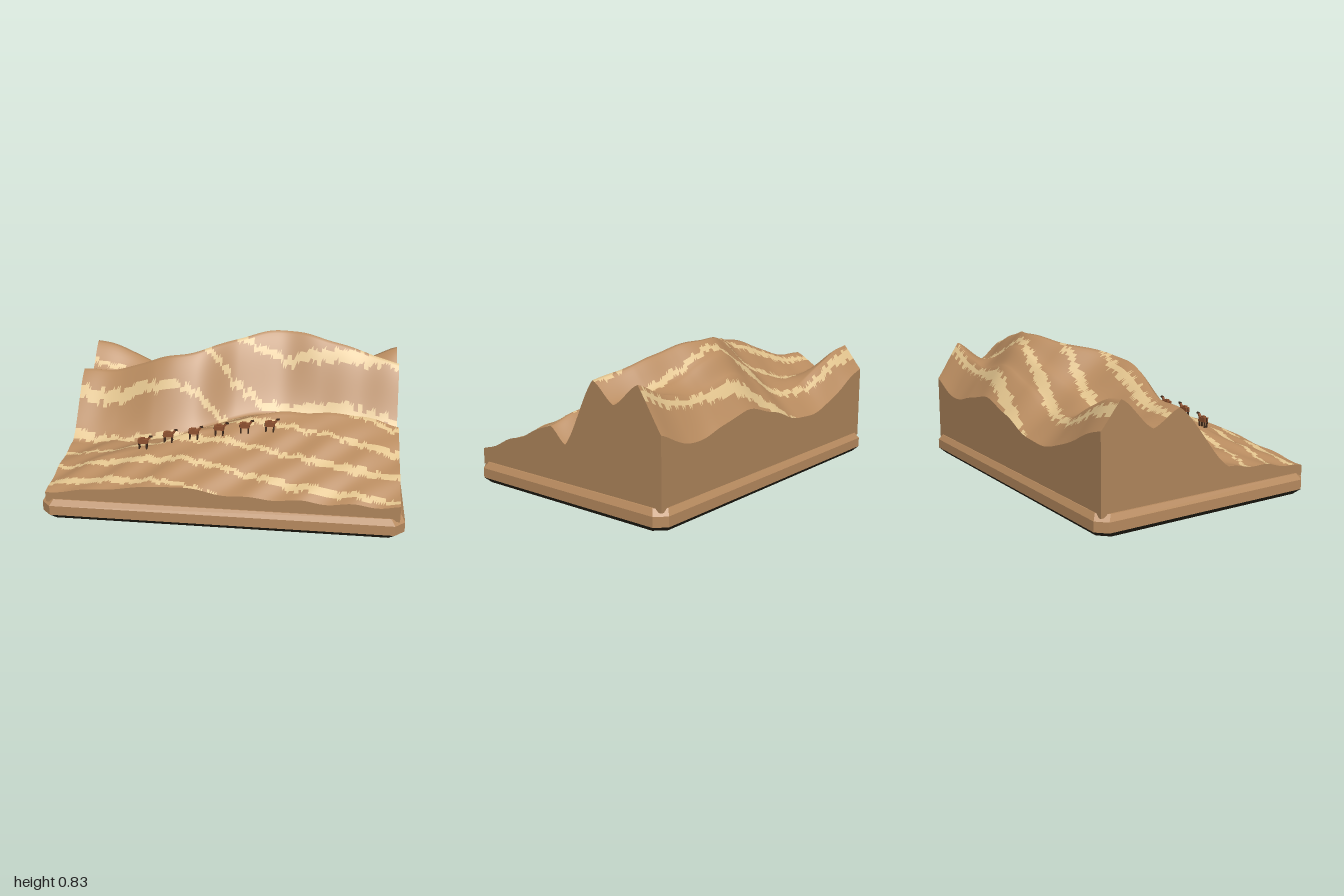
import * as THREE from 'three';
import { mergeGeometries } from 'three/addons/utils/BufferGeometryUtils.js';

const material = (name, color, extra = {}) => {
  const m = new THREE.MeshStandardMaterial({ color, ...extra });
  m.name = name;
  return m;
};

const W = 0.97, D = 0.665;

// Dune cross-sections from front to back:
// x, front height, then z and height of ridge, foot, crest, valley, back crest, then back height
const SECTIONS = [
  [-0.97, 0.155, 0.42, 0.2, 0.13, 0.23, -0.2, 0.585, -0.36, 0.5, -0.55, 0.67, 0.53],
  [-0.72, 0.185, 0.39, 0.255, 0.13, 0.25, -0.17, 0.61, -0.37, 0.5, -0.54, 0.6, 0.43],
  [-0.48, 0.215, 0.35, 0.32, 0.165, 0.28, -0.11, 0.7, -0.37, 0.51, -0.52, 0.49, 0.35],
  [-0.24, 0.23, 0.28, 0.38, 0.13, 0.34, -0.12, 0.755, -0.36, 0.58, -0.52, 0.46, 0.34],
  [0, 0.205, 0.2, 0.425, -0.02, 0.37, -0.28, 0.8, -0.42, 0.68, -0.53, 0.57, 0.42],
  [0.25, 0.19, 0.12, 0.475, -0.1, 0.38, -0.37, 0.83, -0.46, 0.76, -0.55, 0.65, 0.48],
  [0.5, 0.185, 0.1, 0.478, -0.08, 0.37, -0.32, 0.81, -0.44, 0.69, -0.54, 0.6, 0.43],
  [0.75, 0.185, 0.09, 0.465, -0.04, 0.35, -0.28, 0.745, -0.4, 0.62, -0.52, 0.62, 0.4],
  [0.97, 0.18, 0.1, 0.42, -0.01, 0.33, -0.22, 0.69, -0.36, 0.58, -0.52, 0.7, 0.48],
];
const ROUNDING = [0, 0.5, 0.4, 0.5, 0.5, 0.1];
const ROWS = [26, 15, 19, 10, 10, 9];

// Smoothly blended cross-section at x, as [z, height] pairs
function profile(x) {
  let i = 0;
  while (i < SECTIONS.length - 2 && x > SECTIONS[i + 1][0]) i++;
  const at = (k) => SECTIONS[Math.min(Math.max(k, 0), SECTIONS.length - 1)];
  const [a, b, c, d] = [at(i - 1), at(i), at(i + 1), at(i + 2)];
  const t = (x - b[0]) / (c[0] - b[0]);
  const v = b.map((p, k) => {
    const m0 = (c[k] - a[k]) / 2, m1 = (d[k] - p) / 2;
    return p + t * (m0 + t * (3 * (c[k] - p) - 2 * m0 - m1 + t * (m0 + m1 - 2 * (c[k] - p))));
  });
  return [[D, v[1]], [v[2], v[3]], [v[4], v[5]], [v[6], v[7]], [v[8], v[9]], [v[10], v[11]], [-D, v[12]]];
}

// Height within one segment of the profile, with wind ripples
function segmentHeight(p, s, t, x, z) {
  const r = ROUNDING[s], f = t * (1 - r) + r * t * t * (3 - 2 * t);
  const fade = THREE.MathUtils.smoothstep(z, -0.05, 0.3);
  const ripple = fade * 0.006 * Math.sin((x + 1.2 * z) * 22);
  const swell = 0.006 * Math.sin(x * 17 + z * 5) * Math.sin(x * 7 + 1);
  return p[s][1] + (p[s + 1][1] - p[s][1]) * f + ripple + swell;
}

function heightAt(x, z) {
  const p = profile(x);
  let s = 0;
  while (s < 5 && z < p[s + 1][0]) s++;
  return segmentHeight(p, s, (p[s][0] - z) / (p[s][0] - p[s + 1][0]), x, z);
}

const hash = (n) => {
  const s = Math.sin(n * 127.1) * 43758.5453;
  return s - Math.floor(s);
};

// Pale, ragged wind-blown bands
function isPale(x, z, column) {
  const band = Math.floor((z + 1) * 6);
  const u = (z - 0.11 * x + 0.022 * Math.sin(3.2 * x + 5 * z) + 0.64
    + (hash(column + band * 31) - 0.5) * 0.024) / 0.165;
  return Math.abs(u - Math.round(u)) < 0.115 + 0.04 * Math.sin(5 * x + 9 * z);
}

function buildTerrain(sand, pale, side) {
  const group = new THREE.Group();
  group.name = 'dunes';
  const NX = 150, pos = [], rows = ROWS.reduce((a, b) => a + b, 0) + 1;
  for (let i = 0; i <= NX; i++) {
    const x = -W + (2 * W * i) / NX, p = profile(x);
    ROWS.forEach((n, s) => {
      for (let k = s ? 1 : 0; k <= n; k++) {
        const t = k / n, z = p[s][0] + (p[s + 1][0] - p[s][0]) * t;
        pos.push(x, segmentHeight(p, s, t, x, z), z);
      }
    });
  }
  const sets = [[], []];
  const addFace = (column, ...tri) => {
    const cx = tri.reduce((a, v) => a + pos[v * 3], 0) / 3;
    const cz = tri.reduce((a, v) => a + pos[v * 3 + 2], 0) / 3;
    sets[isPale(cx, cz, column) ? 1 : 0].push(...tri);
  };
  for (let i = 0; i < NX; i++) for (let j = 0; j < rows - 1; j++) {
    const a = i * rows + j, b = a + rows;
    addFace(i >> 1, a, b, b + 1);
    addFace(i >> 1, a, b + 1, a + 1);
  }
  const geo = new THREE.BufferGeometry();
  geo.setAttribute('position', new THREE.Float32BufferAttribute(pos, 3));
  geo.setIndex(sets[0].concat(sets[1]));
  geo.addGroup(0, sets[0].length, 0);
  geo.addGroup(sets[0].length, sets[1].length, 1);
  geo.computeVertexNormals();
  const top = new THREE.Mesh(geo, [sand, pale]);
  top.name = 'duneSurface';
  group.add(top);

  // Cut walls below each edge of the surface
  const line = (n, f) => Array.from({ length: n }, (_, k) => f(k));
  const edges = {
    frontWall: line(NX + 1, (i) => i * rows),
    backWall: line(NX + 1, (i) => (NX - i) * rows + rows - 1),
    leftWall: line(rows, (j) => NX * rows + j),
    rightWall: line(rows, (j) => rows - 1 - j),
  };
  for (const [name, edge] of Object.entries(edges)) {
    const v = [];
    for (let k = 0; k < edge.length - 1; k++) {
      const [a, b] = [edge[k], edge[k + 1]].map((e) => pos.slice(e * 3, e * 3 + 3));
      const a0 = [a[0], 0.1, a[2]], b0 = [b[0], 0.1, b[2]];
      v.push(...a0, ...b0, ...b, ...a0, ...b, ...a);
    }
    const wall = new THREE.BufferGeometry();
    wall.setAttribute('position', new THREE.Float32BufferAttribute(v, 3));
    wall.computeVertexNormals();
    const mesh = new THREE.Mesh(wall, side);
    mesh.name = name;
    group.add(mesh);
  }
  return group;
}

// Rectangle with cut corners, stacked through [y, inset] levels
function plinth(levels, capTop, capBottom) {
  const loops = levels.map(([y, inset]) => {
    const x = 1 - inset, z = 0.69 - inset, c = 0.055;
    return [[-x + c, z], [x - c, z], [x, z - c], [x, -z + c], [x - c, -z], [-x + c, -z], [-x, -z + c], [-x, z - c]]
      .map(([px, pz]) => [px, y, pz]);
  });
  const v = [];
  for (let l = 0; l < loops.length - 1; l++) for (let k = 0; k < 8; k++) {
    const n = (k + 1) % 8, [lo, hi] = [loops[l], loops[l + 1]];
    v.push(...lo[k], ...lo[n], ...hi[n], ...lo[k], ...hi[n], ...hi[k]);
  }
  const last = loops[loops.length - 1];
  for (let k = 1; k < 7; k++) {
    if (capTop) v.push(...last[0], ...last[k], ...last[k + 1]);
    if (capBottom) v.push(...loops[0][0], ...loops[0][k + 1], ...loops[0][k]);
  }
  const geo = new THREE.BufferGeometry();
  geo.setAttribute('position', new THREE.Float32BufferAttribute(v, 3));
  geo.computeVertexNormals();
  return geo;
}

const box = (w, h, d, x, y, z, tilt = 0) => new THREE.BoxGeometry(w, h, d).rotateZ(tilt).translate(x, y, z);

export function createModel() {
  const sand = material('sand', 0xb88b5f);
  const pale = material('paleSand', 0xe0c28c);
  const side = material('cutSand', 0xb0865c);
  const dark = material('darkBase', 0x2f291d);
  const coat = material('brownCoat', 0x8f5230);
  const shade = material('darkLegs', 0x3f2a1c);
  const model = new THREE.Group();
  const add = (parent, name, geo, mat) => {
    const m = new THREE.Mesh(geo, mat);
    m.name = name;
    parent.add(m);
  };

  add(model, 'baseFoot', plinth([[0, 0.03], [0.03, 0]], false, true), dark);
  add(model, 'baseFrame', plinth([[0.03, 0], [0.085, 0], [0.118, 0.02]], true, false), sand);
  model.add(buildTerrain(sand, pale, side));

  // Pack animals walking in file along the ridge
  const bodyGeo = mergeGeometries([
    box(0.056, 0.026, 0.028, -0.008, 0.043, 0),
    box(0.026, 0.01, 0.018, -0.01, 0.059, 0),
    box(0.012, 0.03, 0.012, 0.024, 0.058, 0, -0.6),
  ]);
  const legs = [];
  for (const x of [-0.03, 0.013]) for (const z of [-0.009, 0.009]) legs.push(box(0.008, 0.036, 0.008, x, 0.015, z));
  const darkGeo = mergeGeometries([...legs,
    box(0.018, 0.01, 0.011, 0.037, 0.072, 0, 0.15),
    box(0.004, 0.022, 0.004, -0.037, 0.044, 0, -0.2),
  ]);
  for (let i = 0; i < 6; i++) {
    const animal = new THREE.Group();
    animal.name = 'packAnimal' + (i + 1);
    const x = -0.47 + i * 0.143, z = 0.36 - i * 0.024;
    animal.position.set(x, heightAt(x, z) + 0.004, z);
    add(animal, 'bodyAndNeck', bodyGeo, coat);
    add(animal, 'legsHeadAndTail', darkGeo, shade);
    model.add(animal);
  }
  return model;
}
